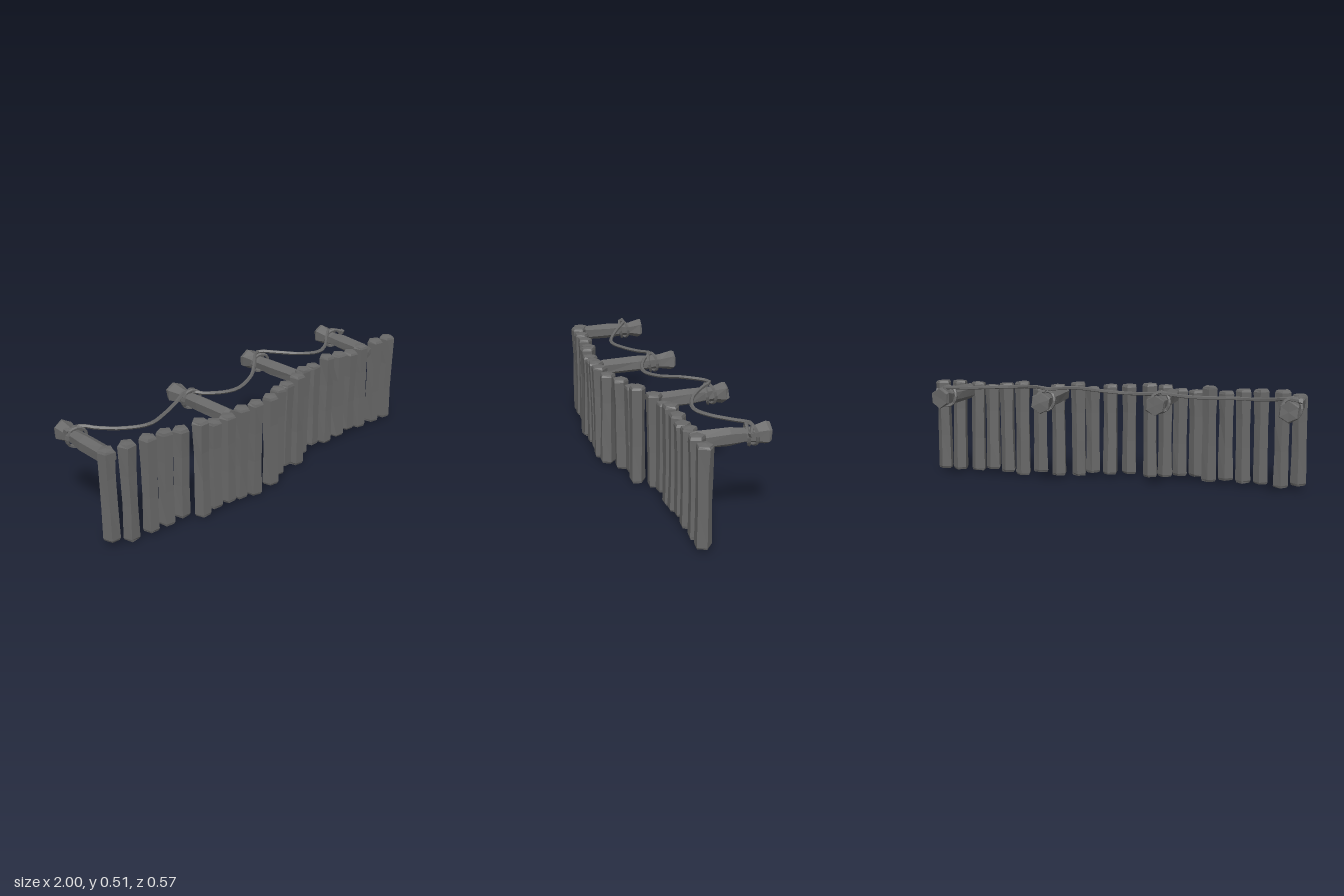
import * as THREE from 'three';

const wood = new THREE.MeshStandardMaterial({ color: 0x686868 });
wood.name = 'weatheredGrey';

// Faceted normals for a hand-hewn look
function faceted(geometry) {
  const g = geometry.index ? geometry.toNonIndexed() : geometry;
  g.computeVertexNormals();
  return g;
}

// Repeatable noise in -1..1
const noise = (n) => {
  const s = Math.sin(n * 12.9898) * 43758.5453;
  return (s - Math.floor(s)) * 2 - 1;
};

// Hewn timber along y: profile of [radius, y] turned into a few-sided prism with uneven corners
function timber(profile, sides, start, seed, rough) {
  const g = new THREE.LatheGeometry(profile.map(([r, y]) => new THREE.Vector2(r, y)), sides, start);
  const p = g.attributes.position;
  for (let i = 0; i < p.count; i++) {
    const x = p.getX(i), y = p.getY(i), z = p.getZ(i);
    const key = Math.round(x * 500) * 0.37 + Math.round(y * 500) * 0.11 + Math.round(z * 500) * 0.73 + seed;
    p.setXYZ(i, x + noise(key) * rough, y + noise(key + 5) * rough, z + noise(key + 9) * rough);
  }
  return faceted(g);
}

function add(parent, name, geometry) {
  const mesh = new THREE.Mesh(geometry, wood);
  mesh.name = name;
  parent.add(mesh);
  return mesh;
}

function rope(parent, name, points, radius, segments, closed = false) {
  const curve = new THREE.CatmullRomCurve3(points.map((p) => new THREE.Vector3(...p)), closed);
  return add(parent, name, faceted(new THREE.TubeGeometry(curve, segments, radius, 5, closed)));
}

export function createModel() {
  const model = new THREE.Group();
  model.name = 'palisadeDock';

  // Upright posts: [x, z, bottom, top]
  const posts = [
    [-0.95, 0.165, 0.035, 0.495], [-0.86, 0.19, 0.012, 0.51], [-0.755, 0.2, 0.022, 0.508],
    [-0.665, 0.2, 0.022, 0.505], [-0.575, 0.2, 0.03, 0.49], [-0.48, 0.23, 0.01, 0.51],
    [-0.41, 0.235, 0.033, 0.487], [-0.325, 0.235, 0.03, 0.49], [-0.245, 0.235, 0.02, 0.505],
    [-0.16, 0.24, 0.01, 0.51], [-0.05, 0.23, 0.022, 0.503], [0.04, 0.18, 0.022, 0.503],
    [0.125, 0.145, 0.035, 0.492], [0.205, 0.145, 0.012, 0.515], [0.295, 0.085, 0.02, 0.505],
    [0.39, 0.065, 0.035, 0.49], [0.49, 0.065, 0.012, 0.515], [0.58, 0.065, 0.022, 0.503],
    [0.665, 0.065, 0.033, 0.492], [0.75, 0.065, 0.022, 0.503], [0.86, 0.065, 0.02, 0.508],
    [0.955, 0.065, 0.02, 0.505],
  ];
  const palisade = new THREE.Group();
  palisade.name = 'palisade';
  model.add(palisade);
  posts.forEach(([x, z, bottom, top], i) => {
    const h = (top - bottom) / 2;
    const profile = [
      [0, -h], [0.036, -h + 0.002], [0.041, -h + 0.014], [0.038, -0.06],
      [0.038, 0.09], [0.042, h - 0.016], [0.036, h - 0.004], [0, h],
    ];
    const post = add(palisade, 'post' + (i + 1), timber(profile, 5, Math.PI, i * 3.1, 0.002));
    post.position.set(x, (top + bottom) / 2, z);
    post.rotation.set(noise(i + 2) * 0.022, noise(i + 40) * 0.12, noise(i + 70) * 0.012);
  });

  // Mooring logs: flared outer end behind the wall, [outer x, outer z, inner x, inner z, lashing z]
  const logs = [
    [-0.95, -0.2, -0.94, 0.18, -0.09],
    [-0.31, -0.2, -0.285, 0.22, -0.075],
    [0.245, -0.29, 0.28, 0.11, -0.2],
    [0.795, -0.29, 0.79, 0.08, -0.2],
  ];
  logs.forEach(([x0, z0, x1, z1, lashZ], i) => {
    const unit = new THREE.Group();
    unit.name = 'mooringLog' + (i + 1);
    model.add(unit);
    const length = Math.hypot(x1 - x0, z1 - z0);
    const profile = [
      [0, 0], [0.036, 0.004], [0.041, 0.03], [0.042, length * 0.5], [0.036, length - 0.11],
      [0.037, length - 0.075], [0.053, length - 0.015], [0.048, length], [0, length + 0.001],
    ];
    const log = add(unit, 'log', timber(profile, 6, 0, i * 7.3, 0.003));
    log.position.set(x1, 0.452, z1);
    log.quaternion.setFromUnitVectors(
      new THREE.Vector3(0, 1, 0),
      new THREE.Vector3(x0 - x1, 0, z0 - z1).normalize(),
    );

    // Two slanted rope turns around the log
    const cx = x0 + (x1 - x0) * ((lashZ - z0) / (z1 - z0));
    for (const [k, shift] of [-0.008, 0.01].entries()) {
      const ring = [];
      for (let a = 0; a < 8; a++) {
        const t = (a / 8) * Math.PI * 2;
        const slant = (k ? 0.012 : -0.014) * Math.cos(t) + 0.008 * Math.sin(t);
        ring.push([cx + Math.cos(t) * 0.046, 0.455 + Math.sin(t) * 0.049, lashZ + shift + slant]);
      }
      rope(unit, 'lashing', ring, 0.008, 16, true);
    }
  });

  // Slack rope running from log to log
  rope(model, 'slackRope', [
    [-0.99, 0.492, -0.097], [-0.92, 0.5, -0.09], [-0.86, 0.488, -0.045], [-0.76, 0.476, 0.015],
    [-0.64, 0.472, 0.053], [-0.52, 0.474, 0.012], [-0.42, 0.482, -0.035], [-0.32, 0.497, -0.075],
    [-0.25, 0.486, -0.02], [-0.1, 0.478, 0.026], [0.04, 0.492, -0.02], [0.13, 0.51, -0.095],
    [0.25, 0.514, -0.205], [0.32, 0.512, -0.14], [0.42, 0.502, -0.06], [0.53, 0.493, -0.032],
    [0.62, 0.492, -0.075], [0.7, 0.494, -0.145], [0.79, 0.5, -0.212], [0.83, 0.492, -0.195],
    [0.865, 0.478, -0.18],
  ], 0.0095, 64);

  // Rope ends, closed with small blunt knots
  [[-0.987, 0.492, -0.097], [0.858, 0.479, -0.183]].forEach((p, i) => {
    const knot = add(model, 'ropeEnd' + (i + 1), faceted(new THREE.BoxGeometry(0.018, 0.02, 0.022)));
    knot.position.set(...p);
    knot.rotation.set(0.4, 0.3, 0);
  });

  return model;
}
